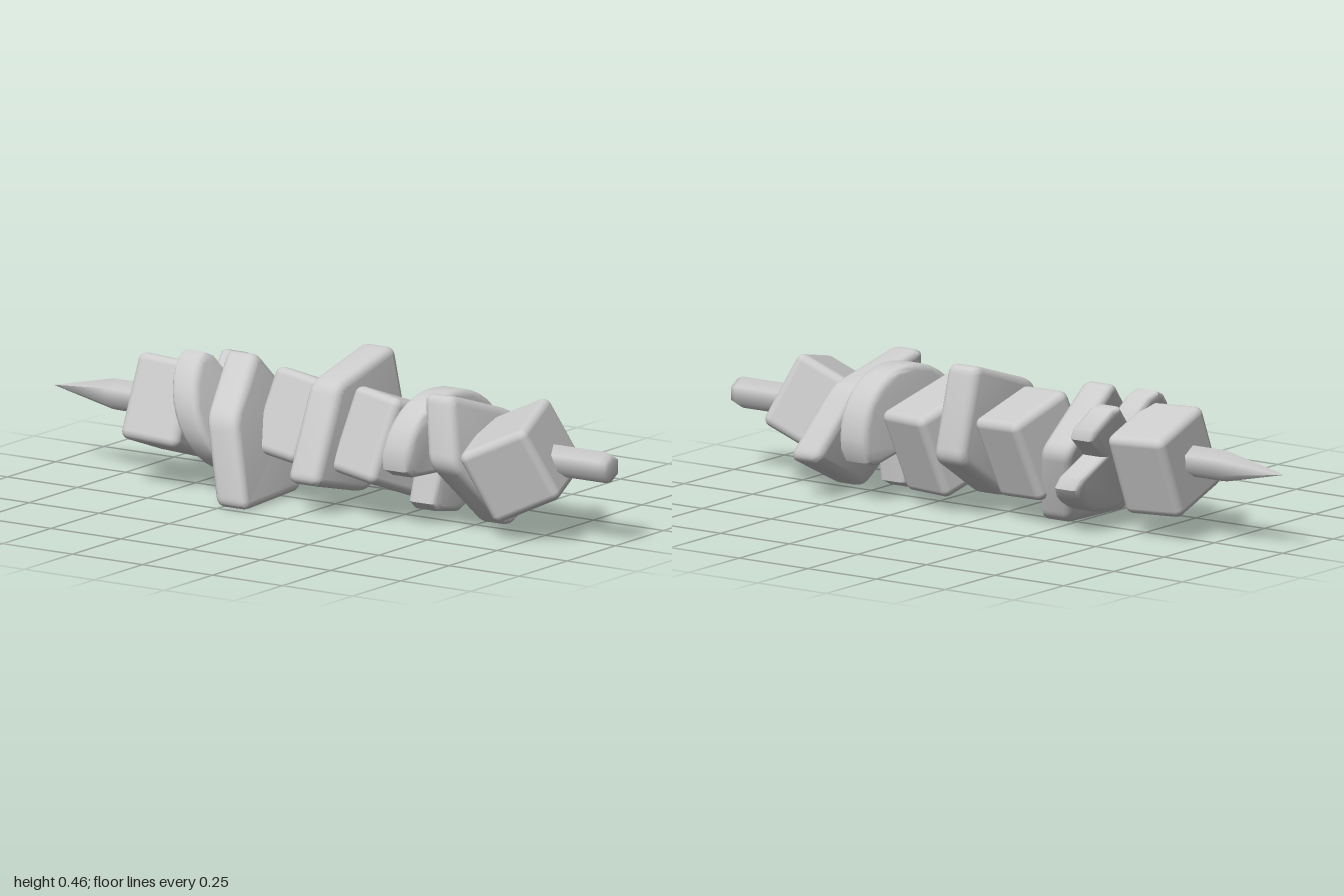
import * as THREE from 'three';
import { toCreasedNormals } from 'three/addons/utils/BufferGeometryUtils.js';
import { RoundedBoxGeometry } from 'three/addons/geometries/RoundedBoxGeometry.js';

const AXIS_Y = 0.235;
const material = new THREE.MeshStandardMaterial({ color: 0xcccccc });

export function createModel() {
  const group = new THREE.Group();

  const add = (name, geometry) => {
    const mesh = new THREE.Mesh(geometry, material);
    mesh.name = name;
    group.add(mesh);
    return mesh;
  };

  // Extrudes a side profile (u = -z, y) along x, leaning it by x += a * (y - axis) + b * z
  const slice = (name, shape, x, thickness, bevel, a, b) => {
    const depth = thickness - 2 * bevel;
    const geo = new THREE.ExtrudeGeometry(shape, {
      depth, bevelThickness: bevel, bevelSize: bevel, bevelOffset: -bevel, bevelSegments: 3, curveSegments: 6,
    });
    geo.translate(0, 0, -depth / 2).rotateY(Math.PI / 2);
    geo.applyMatrix4(new THREE.Matrix4().set(
      1, a, b, x - a * AXIS_Y,
      0, 1, 0, 0,
      0, 0, 1, 0,
      0, 0, 0, 1));
    add(name, toCreasedNormals(geo, 0.7));
  };

  // Polygon with its corners rounded off
  const roundedPolygon = (points, r) => {
    const pts = points.map(([z, y]) => new THREE.Vector2(-z, y));
    const shape = new THREE.Shape();
    pts.forEach((p, i) => {
      const prev = pts[(i + pts.length - 1) % pts.length];
      const next = pts[(i + 1) % pts.length];
      const from = prev.clone().sub(p).setLength(r).add(p);
      const to = next.clone().sub(p).setLength(r).add(p);
      if (i) shape.lineTo(from.x, from.y);
      else shape.moveTo(from.x, from.y);
      shape.quadraticCurveTo(p.x, p.y, to.x, to.y);
    });
    shape.closePath();
    return shape;
  };

  // Mushroom cross-section: half-round cap on a short stem, turned about the skewer
  const mushroomShape = (turn, y0) => {
    const pts = [];
    for (let i = 0; i <= 18; i++) {
      const t = (i / 18) * Math.PI;
      pts.push([0.195 * Math.cos(t), -0.05 + 0.215 * Math.sin(t)]);
    }
    pts.push([-0.185, -0.085], [-0.15, -0.1], [-0.06, -0.085], [-0.065, -0.18], [-0.04, -0.2],
      [0.04, -0.2], [0.065, -0.18], [0.06, -0.085], [0.15, -0.1], [0.185, -0.085]);
    return new THREE.Shape(pts.map(([x, y]) =>
      new THREE.Vector2(x, y).rotateAround(new THREE.Vector2(), turn).add(new THREE.Vector2(0, y0))));
  };

  // Skewer: six-sided rod with a long point and a slightly rounded end
  const rod = new THREE.LatheGeometry(
    [[0, -1], [0.046, -0.79], [0.047, -0.77], [0.047, 0.975], [0.04, 0.993], [0.025, 1], [0, 1]]
      .map(([r, x]) => new THREE.Vector2(r, x)), 6, Math.PI / 2);
  rod.rotateZ(-Math.PI / 2).translate(0, AXIS_Y, 0.01);
  add('skewer', rod);

  // Meat chunks: centre, size, direction along the skewer, rough up direction
  const chunks = [
    [[-0.565, 0.227, 0.003], [0.205, 0.262, 0.235], [1, -0.05, 0], [0, 0.94, -0.33]],
    [[-0.118, 0.227, -0.037], [0.195, 0.262, 0.23], [1, -0.07, 0.24], [0.05, 0.93, -0.36]],
    [[0.212, 0.207, -0.01], [0.205, 0.265, 0.28], [1, -0.05, 0.32], [0.05, 0.93, -0.35]],
    [[0.685, 0.224, 0.03], [0.235, 0.24, 0.265], [0.2, 0.095, -0.04], [-0.07, 0.19, 0.065]],
  ];
  for (const [centre, size, along, up] of chunks) {
    const mesh = add('meatChunk', new RoundedBoxGeometry(...size, 3, 0.025));
    const ax = new THREE.Vector3(...along).normalize();
    const az = ax.clone().cross(new THREE.Vector3(...up)).normalize();
    const ay = az.clone().cross(ax);
    mesh.quaternion.setFromRotationMatrix(new THREE.Matrix4().makeBasis(ax, ay, az));
    mesh.position.set(...centre);
  }

  // Five-sided pepper slabs: corners as [z, y], then x, thickness and lean
  const slabs = [
    [[[0.243, 0.0], [-0.07, 0.01], [-0.15, 0.24], [0.025, 0.435], [0.205, 0.26]], -0.27, 0.11, -0.24, 0.02],
    [[[-0.16, 0.467], [-0.215, 0.18], [-0.02, 0.045], [0.21, 0.1], [0.09, 0.385]], 0.04, 0.11, -0.04, -0.13],
    [[[0.145, 0.42], [-0.11, 0.335], [-0.245, 0.125], [0.0, 0.005], [0.185, 0.21]], 0.522, 0.105, -0.22, -0.13],
  ];
  for (const [corners, x, thickness, a, b] of slabs) {
    slice('pepperSlab', roundedPolygon(corners, 0.035), x, thickness, 0.022, a, b);
  }

  // Mushroom slices
  slice('mushroomSlice', mushroomShape(2.3, 0.222), -0.395, 0.09, 0.018, -0.33, -0.13);
  slice('mushroomSlice', mushroomShape(-0.15, 0.235), 0.392, 0.1, 0.018, 0.02, -0.24);

  return group;
}
